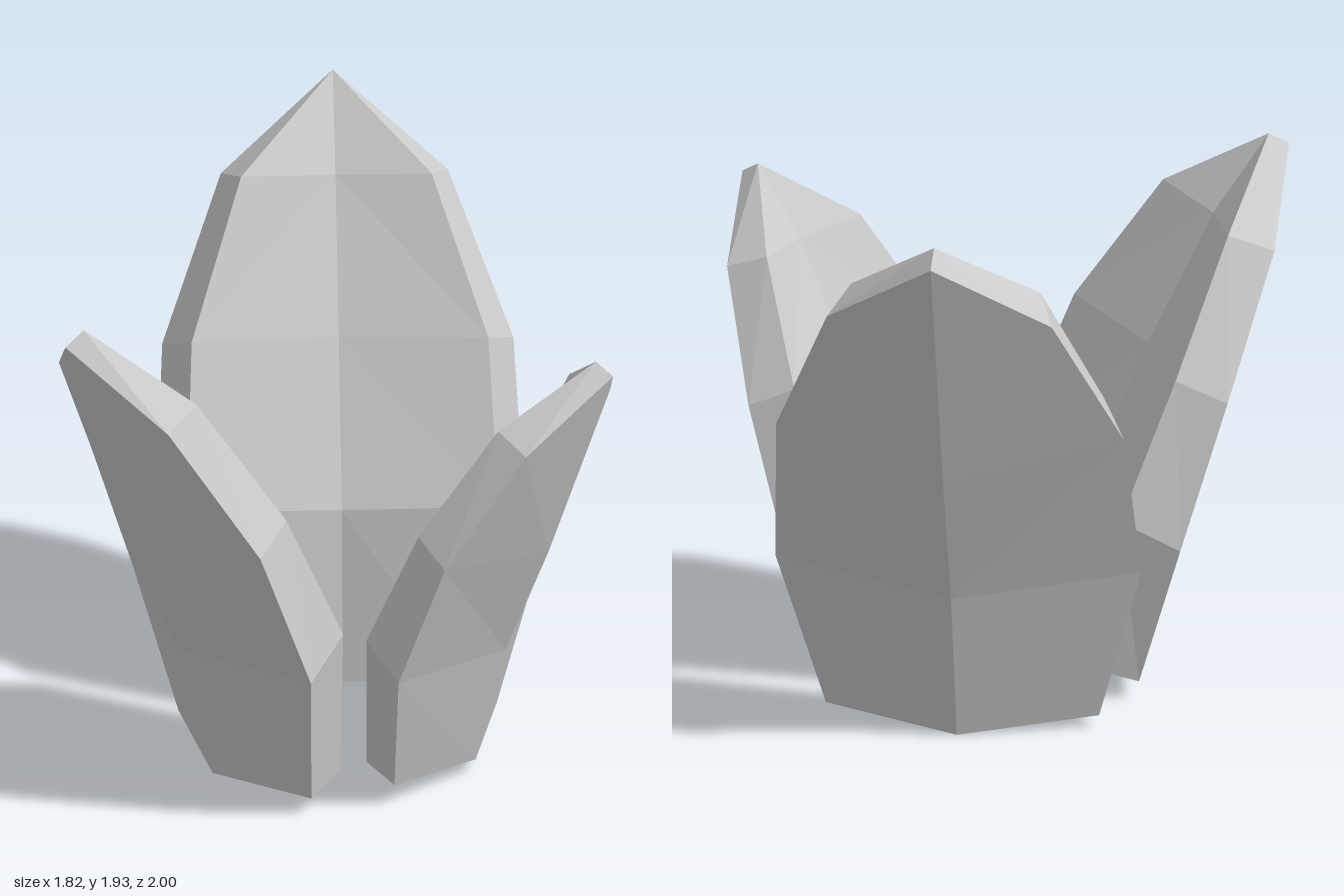
import * as THREE from 'three';

// Cross-sections from base to tip of one thick, folded leaf.
// Each: inner edge [halfWidth, y, z], inner fold [y, z], outer edge [halfWidth, y, z], outer rib [y, z]
const SECTIONS = [
  { innerEdge: [0.40, 0.09, 0.30], fold: [0.065, 0.22], outerEdge: [0.455, 0.04, 0.14], rib: [0, 0] },
  { innerEdge: [0.515, 0.70, 0.24], fold: [0.66, 0.16], outerEdge: [0.61, 0.59, 0.04], rib: [0.53, -0.14] },
  { innerEdge: [0.49, 1.21, 0.01], fold: [1.18, -0.08], outerEdge: [0.58, 1.13, -0.16], rib: [1.02, -0.34] },
  { innerEdge: [0.315, 1.68, -0.27], fold: [1.65, -0.34], outerEdge: [0.375, 1.62, -0.43], rib: [1.55, -0.525] },
  { innerEdge: [0, 1.93, -0.56], fold: [1.93, -0.56], outerEdge: [0, 1.88, -0.64], rib: [1.88, -0.64] },
];

// Six corners of a section, counter-clockwise seen from above
function ring({ innerEdge: [iw, iy, iz], fold, outerEdge: [ow, oy, oz], rib }) {
  return [
    [-iw, iy, iz], [0, ...fold], [iw, iy, iz],
    [ow, oy, oz], [0, ...rib], [-ow, oy, oz],
  ].map((p) => new THREE.Vector3(...p));
}

function leafGeometry() {
  const rings = SECTIONS.map(ring);
  const pos = [];
  const tri = (a, b, c) => {
    if (new THREE.Triangle(a, b, c).getArea() < 1e-6) return; // sides collapse at the tip
    for (const p of [a, b, c]) pos.push(p.x, p.y, p.z);
  };

  // Walls between neighbouring sections, with diagonals mirrored left to right
  for (let k = 0; k < rings.length - 1; k++) {
    for (let i = 0; i < 6; i++) {
      const j = (i + 1) % 6;
      const a = rings[k][i], b = rings[k][j], c = rings[k + 1][j], d = rings[k + 1][i];
      if (i >= 1 && i <= 3) {
        tri(a, b, d);
        tri(b, c, d);
      } else {
        tri(a, b, c);
        tri(a, c, d);
      }
    }
  }

  // Underside, folded along the middle
  const r = rings[0];
  tri(r[0], r[5], r[4]);
  tri(r[0], r[4], r[1]);
  tri(r[1], r[4], r[3]);
  tri(r[1], r[3], r[2]);

  const geometry = new THREE.BufferGeometry();
  geometry.setAttribute('position', new THREE.Float32BufferAttribute(pos, 3));
  geometry.computeVertexNormals();
  return geometry;
}

export function createModel() {
  const group = new THREE.Group();
  group.name = 'leafCluster';
  const geometry = leafGeometry();
  const material = new THREE.MeshStandardMaterial({ color: 0xcccccc, flatShading: true });

  // Three leaves of decreasing size, leaning outwards
  const leaves = [
    { name: 'backLeaf', position: [0.045, 0, -0.36], turn: 0, scale: 1 },
    { name: 'rightLeaf', position: [-0.41, 0.025, 0.472], turn: 120, scale: 0.9 },
    { name: 'leftLeaf', position: [0.46, 0.045, 0.445], turn: -120, scale: 0.8 },
  ];
  for (const { name, position, turn, scale } of leaves) {
    const leaf = new THREE.Mesh(geometry, material);
    leaf.name = name;
    leaf.position.set(...position);
    leaf.rotation.y = THREE.MathUtils.degToRad(turn);
    leaf.scale.setScalar(scale);
    group.add(leaf);
  }
  return group;
}
